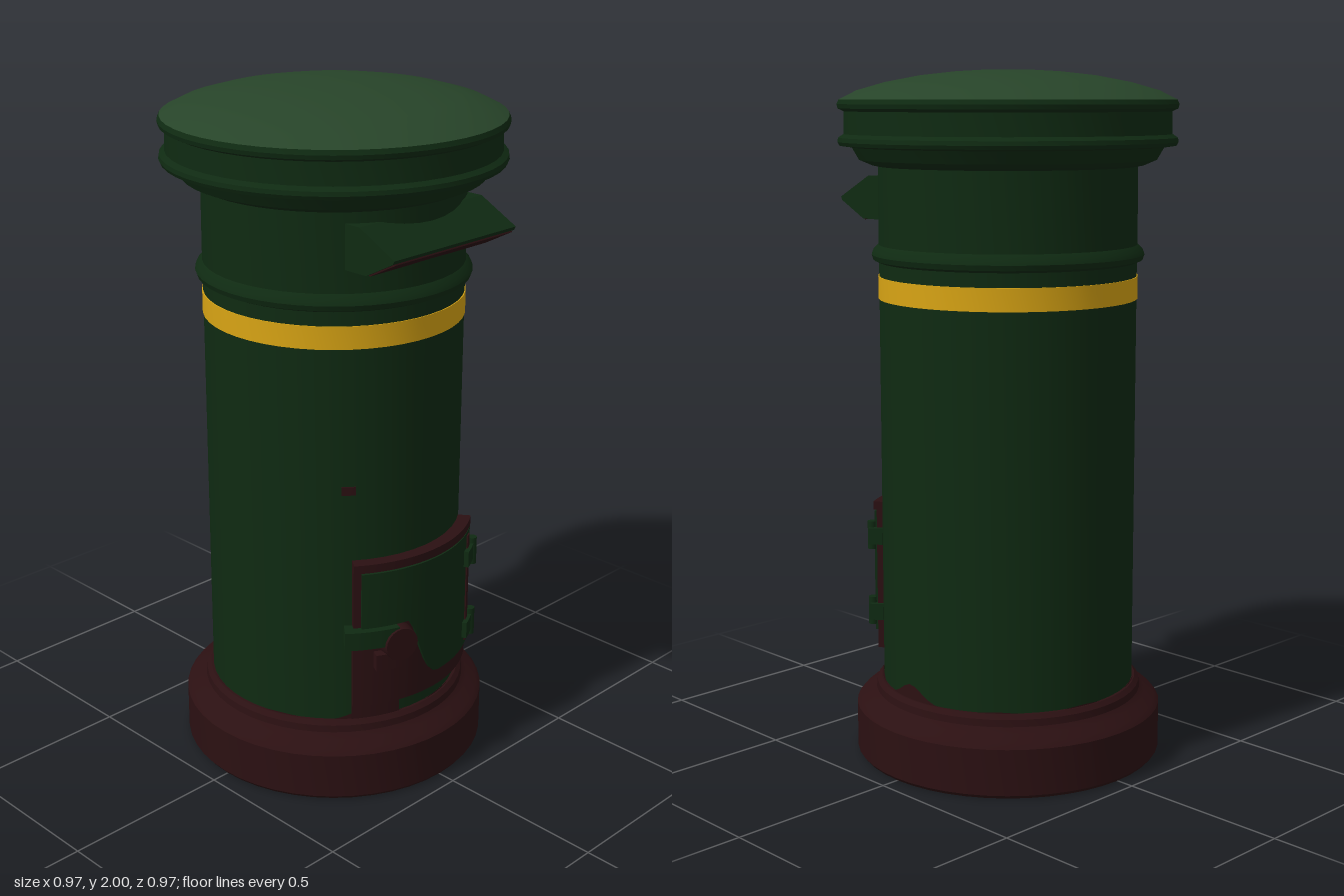
import * as THREE from 'three';
import { toCreasedNormals } from 'three/addons/utils/BufferGeometryUtils.js';

const paint = (name, color) => {
  const m = new THREE.MeshStandardMaterial({ color });
  m.name = name;
  return m;
};

export function createModel() {
  const green = paint('darkGreen', 0x0f2a12);
  const lightGreen = paint('weatheredGreen', 0x274429);
  const rust = paint('rustBrown', 0x2b1012);
  const gold = paint('gold', 0xd8a414);
  const rustSheet = paint('rustSheet', 0x2b1012);
  rustSheet.side = THREE.DoubleSide;

  const group = new THREE.Group();
  const add = (name, geometry, material, parent = group) => {
    const mesh = new THREE.Mesh(geometry, material);
    mesh.name = name;
    parent.add(mesh);
    return mesh;
  };
  const turned = (name, points, material) => add(name, toCreasedNormals(
    new THREE.LatheGeometry(points.map(([r, y]) => new THREE.Vector2(r, y)), 48), 0.6), material);

  // Box bent around the post, from radius r0 to r1; bottom(x) may shape its lower edge
  const curvedPlate = (name, [x0, x1], [y0, y1], [r0, r1], material, parent, bottom = () => y0) => {
    const geo = new THREE.BoxGeometry(x1 - x0, 1, 1, 24, 1, 1);
    const p = geo.attributes.position;
    for (let i = 0; i < p.count; i++) {
      const x = p.getX(i) + (x0 + x1) / 2;
      const r = p.getZ(i) > 0 ? r1 : r0;
      const a = Math.asin(x / 0.4);
      p.setXYZ(i, r * Math.sin(a), p.getY(i) > 0 ? y1 : bottom(x), r * Math.cos(a));
    }
    return add(name, toCreasedNormals(geo, 0.6), material, parent);
  };

  // Hollow, stepped base
  turned('base', [[0, 0.17], [0.35, 0.17], [0.37, 0.12], [0.41, 0.11], [0.42, 0.01], [0.445, 0],
    [0.453, 0.01], [0.453, 0.145], [0.44, 0.16], [0.41, 0.175], [0.395, 0.19], [0.392, 0.21],
    [0.38, 0.222], [0.36, 0.222]], rust);

  // Main post with its moulded ring
  turned('post', [[0.36, 0.2], [0.372, 0.2], [0.372, 1.46], [0.388, 1.467], [0.393, 1.482],
    [0.388, 1.495], [0.373, 1.51], [0.372, 1.75]], green);
  turned('goldBand', [[0.372, 1.355], [0.375, 1.355], [0.375, 1.42], [0.372, 1.42]], gold);

  // Uneven rust creeping up from the base
  const creep = new THREE.CylinderGeometry(0.375, 0.375, 0.04, 96, 1, true);
  const cp = creep.attributes.position;
  for (let i = 0; i < cp.count; i++) {
    const a = Math.atan2(cp.getX(i), cp.getZ(i));
    const bump = (c, w, h) => h * Math.exp(-(((a - c) / w) ** 2));
    const top = 0.222 + bump(1.52, 0.16, 0.04) + bump(0.9, 0.12, 0.035)
      + bump(-0.5, 0.2, 0.025) + 0.004 * Math.sin(a * 9);
    cp.setY(i, cp.getY(i) > 0 ? top : 0.2);
  }
  add('rustEdge', creep, rustSheet);

  // Overhanging cap
  turned('capRim', [[0.365, 1.73], [0.39, 1.735], [0.425, 1.75], [0.445, 1.785], [0.48, 1.79],
    [0.485, 1.80], [0.483, 1.812], [0.468, 1.822], [0.466, 1.885], [0.483, 1.893],
    [0.486, 1.905], [0.48, 1.918]], green);
  turned('capDome', [[0.48, 1.918], [0.43, 1.943], [0.35, 1.966], [0.25, 1.985], [0.15, 1.996],
    [0.08, 2], [0, 2]], lightGreen);

  // Letter slot: wedge hood with a rusty underside
  const slot = new THREE.Group();
  slot.name = 'letterSlot';
  group.add(slot);
  const hoodShape = new THREE.Shape([[-0.46, 1.635], [-0.455, 1.625], [-0.36, 1.575], [-0.27, 1.575],
    [-0.27, 1.70], [-0.335, 1.70]].map(([z, y]) => new THREE.Vector2(z, y)));
  const hood = new THREE.ExtrudeGeometry(hoodShape, { depth: 0.48, bevelEnabled: false });
  hood.rotateY(Math.PI / 2).translate(-0.24, 0, 0);
  add('slotHood', hood, green, slot);
  const under = add('slotMouth', new THREE.BoxGeometry(0.46, 0.105, 0.006), rust, slot);
  under.position.set(0, 1.599, 0.408);
  under.rotation.x = Math.atan2(0.095, 0.05);

  // Collection door
  const door = new THREE.Group();
  door.name = 'door';
  group.add(door);
  curvedPlate('doorFrame', [-0.24, 0.235], [0.275, 0.73], [0.36, 0.4], rust, door);
  curvedPlate('doorTopLip', [-0.24, 0.235], [0.705, 0.73], [0.38, 0.41], rust, door);
  curvedPlate('doorPanel', [-0.222, 0.23], [0.33, 0.7], [0.38, 0.409], green, door, (x) =>
    x < -0.08 ? 0.53 : x < 0.02 ? 0.33 + 0.2 * ((0.02 - x) / 0.1) ** 2 : 0.33);
  curvedPlate('hingeStrip', [0.185, 0.205], [0.345, 0.69], [0.4, 0.413], rust, door);
  curvedPlate('rustStain', [-0.24, -0.1], [0.215, 0.28], [0.36, 0.377], rust, door);

  // Hinges on the door's left edge
  for (const y of [0.39, 0.625]) {
    curvedPlate('hinge', [0.165, 0.245], [y - 0.025, y + 0.025], [0.38, 0.423], green, door);
    const pin = add('hingePin', new THREE.CylinderGeometry(0.014, 0.014, 0.085, 12), green, door);
    pin.position.set(0.235, y, 0.345);
  }

  // Latch and keyhole cover
  curvedPlate('latchBar', [-0.26, -0.13], [0.475, 0.53], [0.38, 0.43], green, door);
  const knob = add('latchKnob', new THREE.CylinderGeometry(0.05, 0.055, 0.04, 20), rust, door);
  knob.position.set(-0.13, 0.475, 0.395);
  knob.rotation.set(Math.PI / 2, 0, 0.32);
  curvedPlate('latchTail', [-0.19, -0.12], [0.4, 0.45], [0.38, 0.428], rust, door);

  // Small rust spot
  curvedPlate('rustSpot', [-0.265, -0.232], [0.93, 0.955], [0.369, 0.375], rust, group);

  return group;
}
